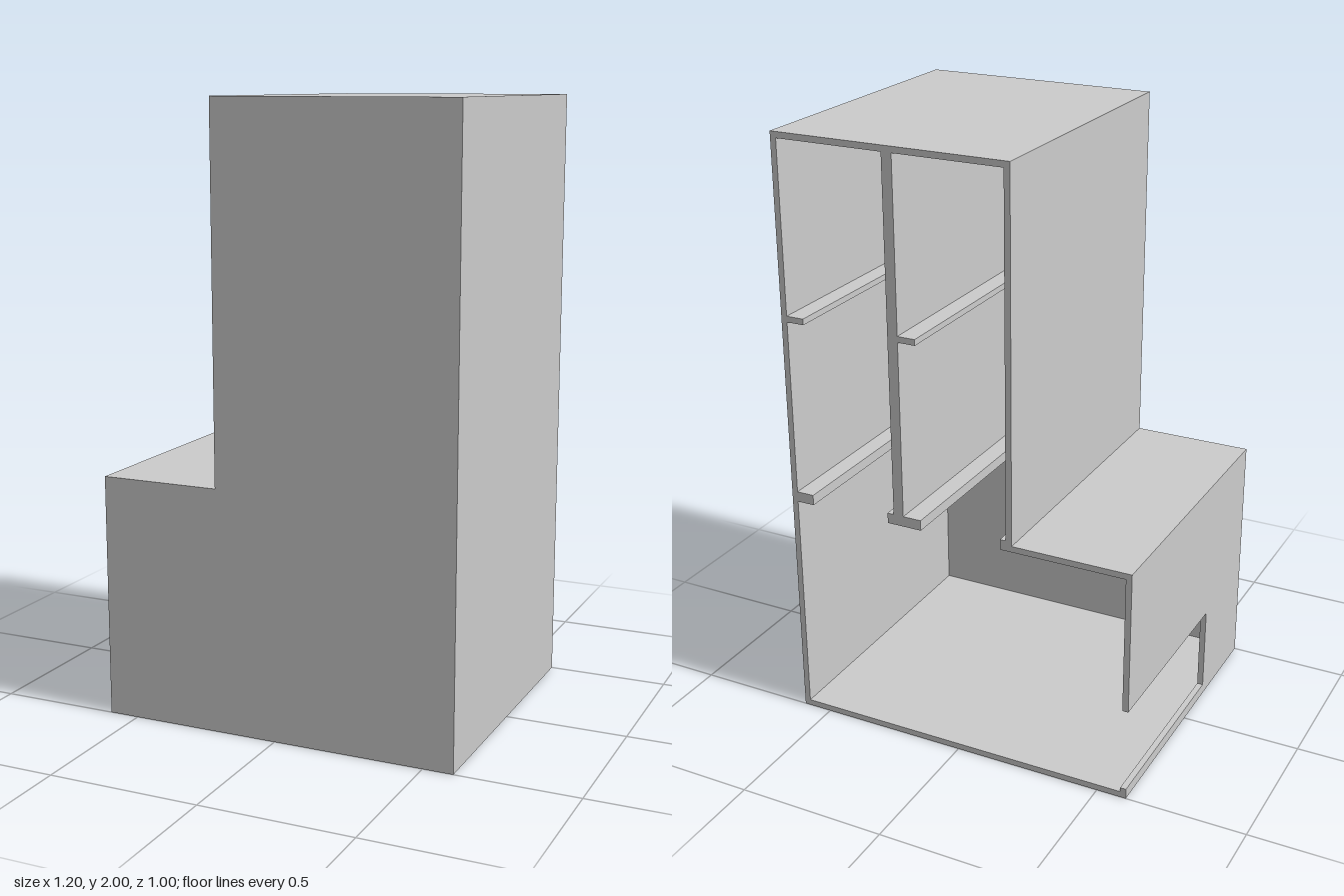
import * as THREE from 'three';

const T = 0.02; // panel thickness
const BACK = -0.5, FRONT = 0.5;
const material = new THREE.MeshStandardMaterial({ color: 0xcccccc });

function add(parent, name, geometry) {
  const mesh = new THREE.Mesh(geometry, material);
  mesh.name = name;
  parent.add(mesh);
  return mesh;
}

// Box given by its extents
function block(parent, name, [x0, x1], [y0, y1], [z0, z1]) {
  const mesh = add(parent, name, new THREE.BoxGeometry(x1 - x0, y1 - y0, z1 - z0));
  mesh.position.set((x0 + x1) / 2, (y0 + y1) / 2, (z0 + z1) / 2);
  return mesh;
}

// Flat panel cut from an outline
function panel(parent, name, points, depth) {
  const shape = new THREE.Shape(points.map(([x, y]) => new THREE.Vector2(x, y)));
  return add(parent, name, new THREE.ExtrudeGeometry(shape, { depth, bevelEnabled: false }));
}

export function createModel() {
  const model = new THREE.Group();
  model.name = 'openBackCabinet';
  const inside = [BACK, FRONT - T];

  // Stepped front panel
  const front = panel(model, 'frontPanel',
    [[-0.6, 0], [0.6, 0], [0.6, 2], [-0.2, 2], [-0.2, 0.8], [-0.6, 0.8]], T);
  front.position.z = FRONT - T;

  // Outer shell, open at the back
  block(model, 'floor', [-0.6 + T, 0.6 - T], [0, T], inside);
  block(model, 'tallSideWall', [0.6 - T, 0.6], [0, 2], inside);
  block(model, 'upperSideWall', [-0.2, -0.2 + T], [0.78, 2], inside);
  block(model, 'topPanel', [-0.2 + T, 0.6 - T], [2 - T, 2], inside);
  block(model, 'lowRoof', [-0.6 + T, -0.2], [0.8 - T, 0.8], inside);

  // Low side wall with a slot that opens to the back; outline in z and y
  const lowSide = panel(model, 'lowSideWall',
    [[-0.5, 0], [0.48, 0], [0.48, 0.8], [-0.5, 0.8], [-0.5, 0.32],
      [0.17, 0.32], [0.17, 0.035], [-0.5, 0.035]].map(([z, y]) => [-z, y]), T);
  lowSide.rotation.y = Math.PI / 2;
  lowSide.position.x = -0.6;

  // Divider between the two columns
  block(model, 'divider', [0.1825, 0.2175], [0.8, 2 - T], inside);

  // Lower shelf with one drop slot per column; outline in x and z
  const shelf = panel(model, 'slottedShelf',
    [[-0.18, -0.5], [-0.16, -0.5], [-0.16, 0.17], [0.12, 0.17], [0.12, -0.5], [0.24, -0.5],
      [0.24, 0.17], [0.52, 0.17], [0.52, -0.5], [0.58, -0.5], [0.58, 0.48], [-0.18, 0.48]], 0.035);
  shelf.rotation.x = Math.PI / 2;
  shelf.position.y = 0.815;

  // Upper side ledges, one per column
  for (const x of [0.58, 0.1825]) {
    block(model, 'upperLedge', [x - 0.06, x], [1.4, 1.42], inside);
  }
  return model;
}
